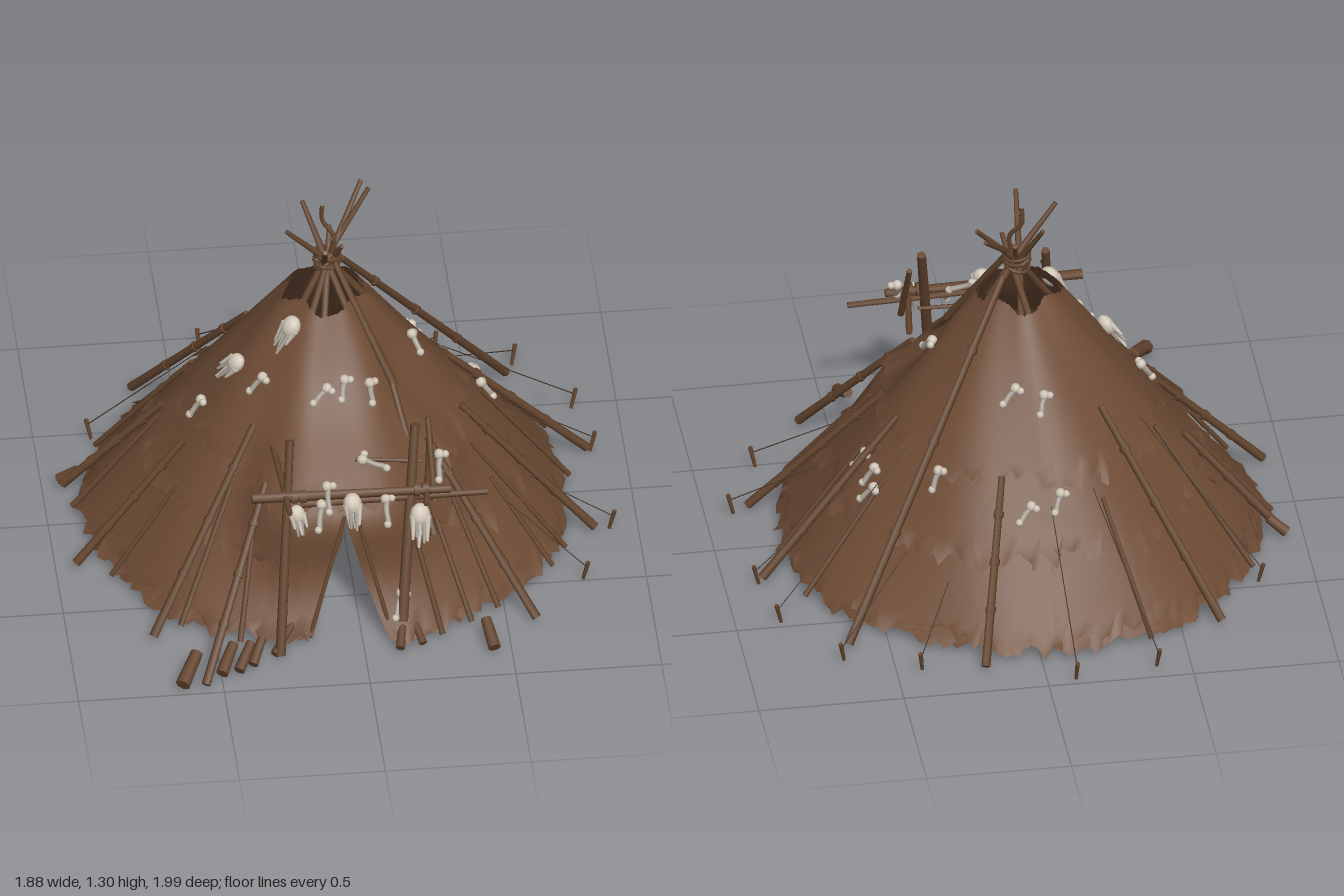
import * as THREE from 'three';

export function createModel() {
  const root = new THREE.Group();
  const mat = (name, color, side = THREE.FrontSide) => {
    const m = new THREE.MeshStandardMaterial({ color, side });
    m.name = name;
    return m;
  };
  const hide = mat('brown hide', 0x6e4c35, THREE.DoubleSide);
  const wood = mat('weathered wood', 0x65462f);
  const cord = mat('dark cord', 0x46352a);
  const bone = mat('grey bone', 0xaba398);
  const pale = mat('pale bone', 0xd2c8b9);

  let seed = 7;
  const rnd = () => (seed = (seed * 16807) % 2147483647) / 2147483647;
  const jit = (s) => (rnd() - 0.5) * 2 * s;
  const V = (x, y, z) => new THREE.Vector3(x, y, z);
  const bump = (x, w) => Math.exp(-((x / w) ** 2));
  const add = (name, geo, m, parent = root) => {
    const mesh = new THREE.Mesh(geo, m);
    mesh.name = name;
    parent.add(mesh);
    return mesh;
  };
  const group = (name) => {
    const g = new THREE.Group();
    g.name = name;
    root.add(g);
    return g;
  };

  // Point on the tent wall: angle 0 is the front, +x at a quarter turn
  const S = (a, y, off = 0) => {
    const t = (y - 0.02) / 0.93;
    const d = Math.atan2(Math.sin(a), Math.cos(a));
    const porch = 0.16 * bump(y - 0.45, 0.18) * Math.exp(-((d / 0.52) ** 4));
    const sag = 0.06 * bump(d - 0.75, 0.2) * bump(y - 0.47, 0.12) - 0.04 * bump(d - 0.95, 0.3) * bump(y - 0.66, 0.16);
    const plan = (0.026 * Math.cos(d - 0.95) - 0.05 * bump(d, 0.2) - 0.025 * bump(d - 2.75, 0.4)) * (1 - t);
    const folds = 0.009 * Math.sin(7 * a + 5 * y) * (1 - 0.6 * t);
    const r = 0.828 - 0.7 * t - 0.008 * Math.sin(Math.PI * t) + porch + sag + plan + folds + off;
    return V(-0.07 + 0.015 * t + Math.sin(a) * r, y, -0.03 + 0.05 * t + Math.cos(a) * r);
  };

  // Ragged sheet of hide following the wall; door is the half angle cut away at the ground
  const sheet = (name, parent, o) => {
    const { a0, a1, yb, yt, off, rag = 0.02, ragTop = rag, rim = 0, sideRag = 0, nu, nv, door = 0 } = o;
    const bot = [], top = [], flare = [], pos = [], idx = [], sides = [];
    for (let i = 0; i <= nu; i++) {
      bot.push(Math.max(0.012, yb + jit(rag)));
      top.push(yt + jit(ragTop) - rim * Math.cos(4 * (a0 + ((a1 - a0) * i) / nu)));
      flare.push(jit(rag * 0.8));
    }
    for (let j = 0; j <= nv; j++) sides.push([jit(sideRag), jit(sideRag)]);
    for (let j = 0; j <= nv; j++) {
      for (let i = 0; i <= nu; i++) {
        const u = i / nu, v = j / nv;
        const y = bot[i] + (top[i] - bot[i]) * v;
        const cut = door * Math.max(0, 1 - y / 0.42);
        const a = a0 + cut + sides[j][0] * (1 - u) + sides[j][1] * u + (a1 - a0 - 2 * cut) * u;
        const p = S(a, y, off + (j === 0 ? flare[i] : 0));
        pos.push(p.x, p.y, p.z);
        if (i < nu && j < nv) {
          const k = j * (nu + 1) + i, n = k + nu + 1;
          idx.push(k, k + 1, n + 1, k, n + 1, n);
        }
      }
    }
    const g = new THREE.BufferGeometry();
    g.setAttribute('position', new THREE.Float32BufferAttribute(pos, 3));
    g.setIndex(idx);
    g.computeVertexNormals();
    return add(name, g, hide, parent);
  };

  // Tapered stick between two points
  const stick = (name, p, q, r, m = wood, parent = root, r2 = r * 0.8) => {
    const mesh = add(name, new THREE.CylinderGeometry(r2, r, p.distanceTo(q), 7), m, parent);
    mesh.position.copy(p).lerp(q, 0.5);
    mesh.quaternion.setFromUnitVectors(V(0, 1, 0), q.clone().sub(p).normalize());
    return mesh;
  };
  const lashing = (p, q, t, r, parent) => {
    const dir = q.clone().sub(p).normalize().multiplyScalar(0.01);
    const c = p.clone().lerp(q, t);
    stick('lashing', c.clone().sub(dir), c.clone().add(dir), r, wood, parent, r);
  };

  // Hide cover: full wall, overlapping lower patches and an upper mantle
  const cover = group('hideCover');
  const F = 0.03, T = Math.PI * 2;
  sheet('wall', cover, { a0: F, a1: F + T, yb: 0.025, yt: 0.95, off: 0, rag: 0.02, ragTop: 0.006, rim: 0.018, nu: 110, nv: 30, door: 0.17 });
  sheet('upperMantle', cover, { a0: F, a1: F + T, yb: 0.47, yt: 0.95, off: 0.01, rag: 0.03, ragTop: 0.008, rim: 0.018, nu: 90, nv: 16 });
  for (let i = 0; i < 12; i++) {
    const a = 0.32 + (i / 12) * (T - 0.7);
    sheet('lowerPatch', cover, { a0: a, a1: a + 0.48, yb: 0.035, yt: 0.27 + jit(0.05), off: 0.005 + 0.005 * (i % 2), rag: 0.025, sideRag: 0.03, nu: 13, nv: 8 });
    sheet('middlePatch', cover, { a0: a + 0.06, a1: a + 0.56, yb: 0.26 + jit(0.04), yt: 0.5, off: 0.007 + 0.005 * (i % 2), rag: 0.025, sideRag: 0.03, nu: 12, nv: 8 });
  }
  // Turned-back lapels at the doorway
  for (const s of [-1, 1]) {
    const a = F + s * 0.28;
    sheet('doorLapel', cover, { a0: a - 0.1, a1: a + 0.1, yb: 0.03, yt: 0.36, off: 0.025, rag: 0.025, sideRag: 0.025, nu: 6, nv: 9 });
  }

  // Crossed pole tips above the smoke hole
  const tips = group('poleTips');
  const ends = [[-0.19, 1.25, 0.08], [-0.12, 1.25, -0.09], [0.11, 1.28, -0.1], [0.09, 1.27, -0.16],
    [0.0, 1.16, 0.06], [-0.07, 1.24, 0.2], [-0.03, 1.17, -0.05], [-0.1, 1.15, 0.05]];
  for (const [x, y, z] of ends) {
    const tip = V(x, y, z), knot = V(-0.045 + jit(0.025), 1.08, 0.015 + jit(0.025));
    const foot = knot.clone().add(knot.clone().sub(tip).setY(0).setLength(0.15)).setY(0.87);
    stick('poleTip', foot, knot, 0.013, wood, tips, 0.012);
    stick('poleTip', knot, tip, 0.012, wood, tips, 0.008);
  }
  const bent = new THREE.CatmullRomCurve3([V(-0.04, 1.08, 0.02), V(-0.02, 1.17, 0.02), V(-0.06, 1.23, 0), V(-0.06, 1.295, 0)]);
  add('crookedTip', new THREE.TubeGeometry(bent, 12, 0.008, 6), wood, tips);
  for (let i = 0; i < 4; i++) {
    const ring = add('apexLashing', new THREE.TorusGeometry(0.045, 0.006, 6, 16), wood, tips);
    ring.position.set(-0.045, 1.06 + i * 0.013, 0.015);
    ring.rotation.set(Math.PI / 2 + jit(0.3), jit(0.3), 0);
  }

  // Outer poles holding the hides down: ground x, ground z, height of the upper end
  const poles = group('outerPoles');
  const leaning = [[-0.93, 0.25, 0.44], [-0.71, 0.69, 0.6], [-0.64, -0.72, 0.64], [0.2, -0.88, 0.5], [0.64, -0.67, 1.04],
    [0.87, -0.22, 0.55], [0.85, 0.23, 0.5], [0.6, 0.72, 0.55], [-0.56, 0.98, 0.5], [-0.93, -0.2, 0.4]];
  for (const [x, z, y] of leaning) {
    const a = Math.atan2(x + 0.07, z + 0.03), p = V(x, 0.02, z), q = S(a, y, 0.02);
    stick('outerPole', p, q, 0.016, wood, poles, 0.012);
    for (const t of [0.3, 0.55, 0.8]) lashing(p, q, t, 0.018, poles);
  }
  stick('outerPole', S(0.5, 0.3, 0.03), S(0.72, 0.72, 0.03), 0.013, wood, poles);
  stick('outerPole', S(0.72, 0.7, 0.03), V(-0.03, 1.1, 0.04), 0.014, wood, poles);
  // Thin sticks, mostly beside the doorway; the last few stand along the back
  for (const [a, y] of [[0.4, 0.4], [0.54, 0.34], [0.68, 0.38], [1.02, 0.32], [1.15, 0.42], [1.62, 0.42], [1.95, 0.38],
    [-0.42, 0.42], [-0.68, 0.42], [-1.12, 0.34], [-1.62, 0.38], [-2.05, 0.5], [-2.75, 0.42]])
    stick('thinPole', S(a, 0.02, 0.025), S(a + jit(0.06), y, 0.02), 0.008 + rnd() * 0.004, wood, poles);

  // Doorway frame
  const frame = group('doorFrame');
  const beams = [[-0.29, 0.02, 0.84, -0.23, 0.73, 0.57, 0.018], [0.13, 0.12, 0.82, 0.2, 0.76, 0.56, 0.02],
    [-0.37, 0.56, 0.66, 0.31, 0.55, 0.66, 0.018], [-0.25, 0.53, 0.67, 0.44, 0.52, 0.65, 0.013],
    [-0.27, 0.57, 0.38, -0.25, 0.56, 0.76, 0.012], [0.27, 0.57, 0.38, 0.22, 0.55, 0.74, 0.012],
    [0.26, 0.48, 0.63, 0.25, 0.74, 0.5, 0.012], [-0.18, 0.02, 0.75, -0.05, 0.45, 0.65, 0.008],
    [0.1, 0.02, 0.76, -0.01, 0.45, 0.65, 0.008], [0, 0.58, 0.5, 0.22, 0.57, 0.52, 0.008]];
  for (const [x, y, z, X, Y, Z, r] of beams) stick('frameBeam', V(x, y, z), V(X, Y, Z), r, wood, frame);
  for (const x of [-0.25, -0.22, 0.17, 0.2]) lashing(V(x, 0.555, 0.66), V(x + 0.05, 0.555, 0.66), 0.5, 0.024, frame);

  // Short logs and stakes in front of the tent
  const logs = group('groundLogs');
  for (const [x, z, X, Z, r] of [[-0.64, 0.98, -0.58, 0.87, 0.026], [-0.5, 0.93, -0.45, 0.83, 0.022], [-0.44, 0.92, -0.39, 0.83, 0.02],
    [-0.39, 0.89, -0.35, 0.81, 0.018], [0.44, 0.88, 0.42, 0.78, 0.022], [-0.94, -0.22, -0.88, -0.2, 0.02],
    [-0.31, 0.84, -0.24, 0.74, 0.016], [0.12, 0.85, 0.14, 0.74, 0.016], [0.2, 0.83, 0.17, 0.72, 0.014]])
    stick('log', V(x, 0.025, z), V(X, 0.075, Z), r, wood, logs, r * 0.85);

  // Guy cords pegged into the ground
  const guys = group('guyCords');
  for (const [x, z, y] of [[-0.1, -0.99, 0.42], [-0.39, -0.95, 0.45], [-0.82, -0.48, 0.55], [0.42, -0.85, 0.2], [0.68, -0.75, 0.25],
    [0.86, -0.48, 0.5], [0.92, 0.22, 0.2], [0.8, 0.5, 0.25], [0.9, -0.23, 0.3]]) {
    const a = Math.atan2(x + 0.07, z + 0.03);
    stick('guyCord', V(x, 0.05, z), S(a, y, 0.02), 0.002, cord, guys);
    stick('peg', V(x * 0.98, 0, z * 0.98), V(x, 0.075, z), 0.006, wood, guys, 0.008);
  }

  // Hanging bones: bent shaft with a heavy knuckle above and a small one below
  const bones = group('boneCharms');
  const hang = (p, len, tilt, turn) => {
    const g = new THREE.Group();
    g.name = 'bone';
    g.position.copy(p);
    g.rotation.set(-0.6, turn, tilt, 'YXZ');
    const curve = new THREE.CatmullRomCurve3([V(0.016, len / 2, 0), V(0, 0.1 * len, 0), V(-0.01, -len / 2, 0)]);
    add('shaft', new THREE.TubeGeometry(curve, 6, 0.01, 6), bone, g);
    for (const [x, y, r] of [[0.01, 0.5, 0.019], [0.03, 0.44, 0.014], [-0.014, -0.5, 0.014]])
      add('knuckle', new THREE.SphereGeometry(r, 7, 5), pale, g).position.set(x, y * len, 0);
    bones.add(g);
  };
  // Shaggy skull: rounded cranium with uneven tapering strands below
  const skull = (p, s, turn, tilt) => {
    const g = new THREE.Group();
    g.name = 'skull';
    g.position.copy(p);
    g.rotation.set(-0.4, turn, tilt, 'YXZ');
    g.scale.setScalar(s);
    add('cranium', new THREE.SphereGeometry(0.03, 9, 7), pale, g).scale.set(1, 1.15, 0.8);
    for (let i = 0; i < 5; i++) {
      const x = (i - 2) * 0.011;
      stick('strand', V(x * 0.9, 0, 0.006), V(x * 0.8 + jit(0.006), -0.07 - rnd() * 0.03 + Math.abs(x), 0.006 + jit(0.01)), 0.012, i % 2 ? bone : pale, g, 0.004);
    }
    bones.add(g);
  };
  for (const [x, y, z, s] of [[-0.22, 0.52, 0.71, 0.95], [-0.03, 0.55, 0.71, 1.1], [0.2, 0.5, 0.73, 1.2]]) skull(V(x, y, z), s, 0, jit(0.2));
  const onWall = (x, z, y) => S(Math.atan2(x + 0.06, z), y, 0.026);
  skull(onWall(-0.2, 0.15, 0.9), 1.2, -0.8, -0.3);
  skull(onWall(-0.36, 0.09, 0.72), 1.1, -1.1, -0.6);
  for (const [x, z, y] of [[-0.1, 0.31, 0.73], [-0.02, 0.32, 0.74], [0.07, 0.3, 0.72], [-0.3, 0.2, 0.71], [-0.1, -0.52, 0.43], [0.02, -0.58, 0.4],
    [-0.08, -0.3, 0.7], [0.02, -0.28, 0.72], [0.33, -0.4, 0.46], [0.58, -0.25, 0.34], [0.57, -0.2, 0.38], [0.6, -0.1, 0.39], [0.27, 0.06, 0.73],
    [-0.46, 0.08, 0.53]])
    hang(onWall(x, z, y), 0.065, jit(0.4), Math.atan2(x + 0.06, z));
  for (const [x, y, z, t] of [[-0.14, 0.5, 0.71, 0.1], [0.09, 0.5, 0.7, 0.3], [0.06, 0.61, 0.57, 1.45], [0.12, 0.17, 0.8, 0], [-0.11, 0.56, 0.69, 0.3],
    [0.28, 0.6, 0.6, 0.2]])
    hang(V(x, y, z), 0.085, t, 0);

  return root;
}
